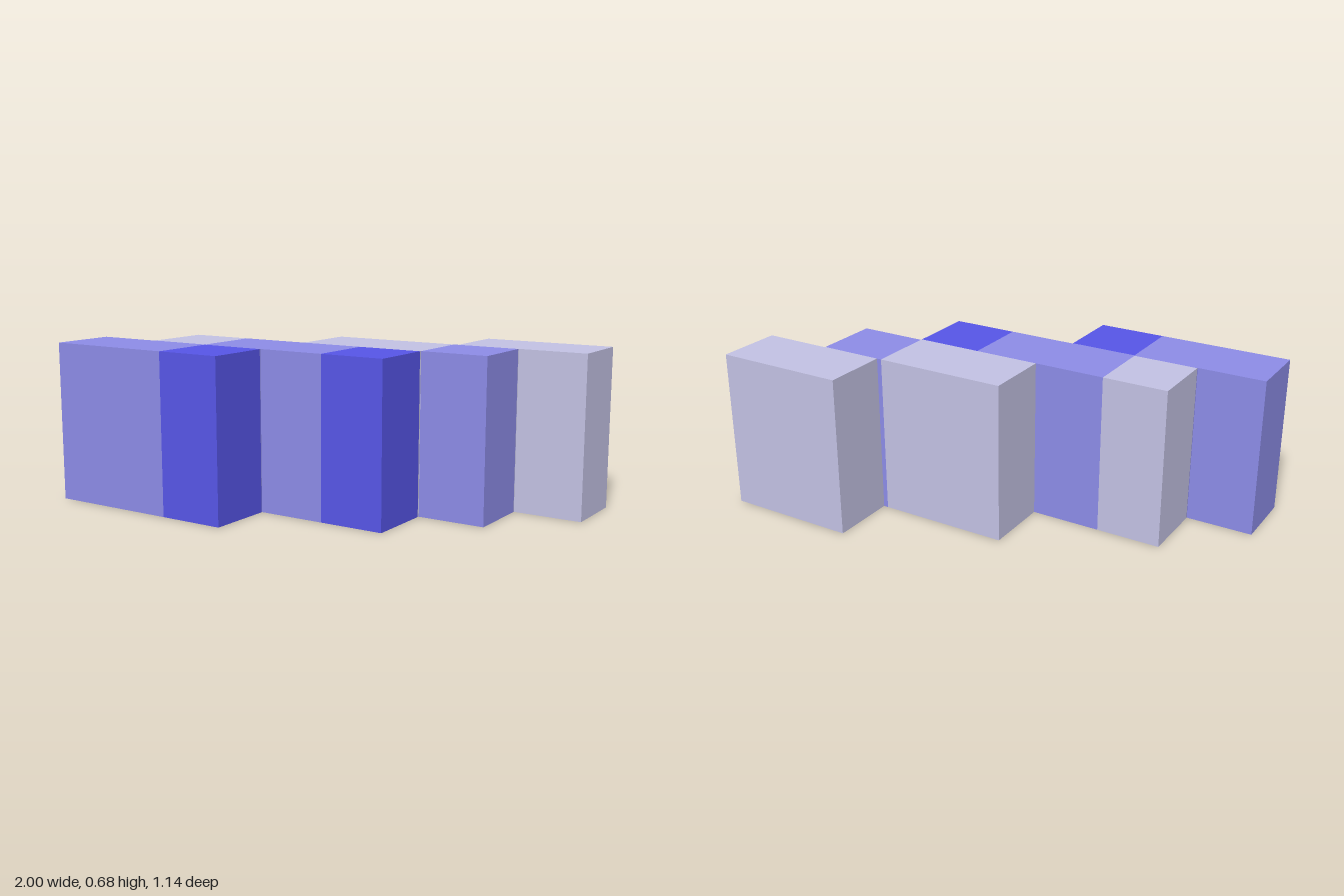
import * as THREE from 'three';

const HEIGHT = 0.675;

export function createModel() {
  const model = new THREE.Group();
  model.name = 'steppedBlocks';

  const material = (name, color) => {
    const m = new THREE.MeshStandardMaterial({ color });
    m.name = name;
    return m;
  };
  const grey = material('pale grey', 0xc2c1e3);
  const mid = material('soft violet', 0x8c8be6);
  const deep = material('deep blue', 0x5655e6);

  // Full-height block spanning x0..x1 and z0..z1
  const block = (parent, name, mat, x0, x1, z0, z1) => {
    const mesh = new THREE.Mesh(new THREE.BoxGeometry(x1 - x0, HEIGHT, z1 - z0), mat);
    mesh.position.set((x0 + x1) / 2, HEIGHT / 2, (z0 + z1) / 2);
    mesh.name = name;
    parent.add(mesh);
  };

  // Staggered rows from back to front, each cut into coloured segments
  const rows = [
    { name: 'backRow', z: [-0.57, -0.291], segments: [[grey, 0.44, 1]] },
    { name: 'innerBackRow', z: [-0.287, -0.007], segments: [[grey, -0.139, 0.42], [mid, 0.42, 0.709]] },
    { name: 'innerFrontRow', z: [0, 0.286], segments: [[grey, -0.715, -0.44], [mid, -0.44, 0.14], [deep, 0.14, 0.419]] },
    { name: 'frontRow', z: [0.29, 0.57], segments: [[mid, -1, -0.438], [deep, -0.438, -0.153]] },
  ];
  for (const { name, z, segments } of rows) {
    const row = new THREE.Group();
    row.name = name;
    for (const [mat, x0, x1] of segments) block(row, name + 'Segment', mat, x0, x1, ...z);
    model.add(row);
  }

  // Thin joints where neighbouring rows overlap
  const joints = [
    [grey, 0.44, 0.709, -0.291, -0.287],
    [grey, -0.139, 0.419, -0.007, 0],
    [mid, -0.715, -0.153, 0.286, 0.29],
  ];
  for (const joint of joints) block(model, 'joint', ...joint);

  return model;
}
